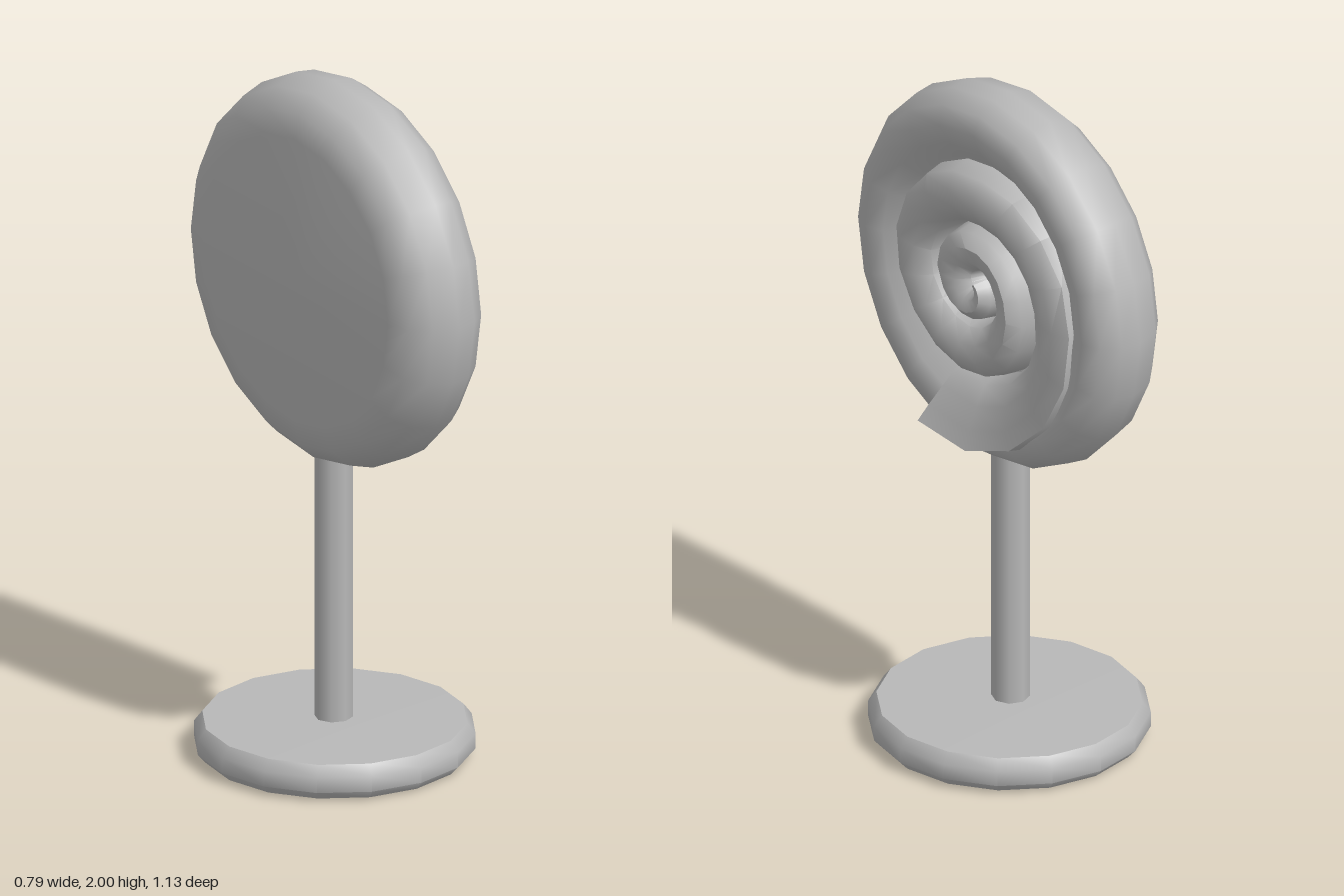
import * as THREE from 'three';
import { toCreasedNormals } from 'three/addons/utils/BufferGeometryUtils.js';

const CENTRE_Y = 1.435;

function lathe(points, sides) {
  const geo = new THREE.LatheGeometry(points.map(([r, y]) => new THREE.Vector2(r, y)), sides);
  return toCreasedNormals(geo, 0.75);
}

// Groove radius at each quarter turn, winding inwards from the bottom
const GROOVE = [0.52, 0.42, 0.35, 0.36, 0.30, 0.21, 0.17, 0.18, 0.12, 0.07, 0.03, 0];
function groove(q) {
  const t = THREE.MathUtils.clamp(q, 0, GROOVE.length - 1);
  const i = Math.min(Math.floor(t), GROOVE.length - 2);
  return THREE.MathUtils.lerp(GROOVE[i], GROOVE[i + 1], t - i);
}

// Rope cross-section: [position from outer to inner edge, height, share of the raised tail]
const ROPE = [[0, 0.05, 0], [0.1, 0.105, 1], [0.35, 0.135, 0.35], [0.65, 0.13, 0], [0.9, 0.1, 0], [1, 0.05, 0]];

function spiralGeometry() {
  const start = 3.78, end = 13.4, steps = 40;
  const pos = [], idx = [], n = ROPE.length;
  for (let i = -1; i <= steps; i++) {
    const q = start + (end - start) * Math.max(i, 0) / steps;
    const a = q * Math.PI / 2;
    const outer = groove(q - 4), inner = groove(q);
    const tail = 0.085 * Math.max(0, 1 - (q - start) / 1.4);
    const bulge = 0.02 * THREE.MathUtils.smoothstep(q, 4.5, 6);
    for (const [s, h, share] of ROPE) {
      const r = THREE.MathUtils.lerp(outer, inner, s);
      // the extra first row lies flat and closes the rope's end
      const x = i < 0 ? 0.05 : h + tail * share + (h > 0.06 ? bulge : 0);
      pos.push(x, -r * Math.cos(a), -r * Math.sin(a));
    }
  }
  for (let i = 0; i <= steps; i++) {
    for (let j = 0; j < n - 1; j++) {
      const k = i * n + j;
      idx.push(k, k + n, k + 1, k + n, k + n + 1, k + 1);
    }
  }
  const geo = new THREE.BufferGeometry();
  geo.setAttribute('position', new THREE.Float32BufferAttribute(pos, 3));
  geo.setIndex(idx);
  return toCreasedNormals(geo, 0.8);
}

export function createModel() {
  const model = new THREE.Group();
  model.name = 'lollipop';
  const grey = new THREE.MeshStandardMaterial({ color: 0xb8b8b8, side: THREE.DoubleSide });
  grey.name = 'grey';

  const add = (name, geo) => {
    const mesh = new THREE.Mesh(geo, grey);
    mesh.name = name;
    model.add(mesh);
    return mesh;
  };

  // Round foot
  add('base', lathe([[0, 0], [0.37, 0.005], [0.393, 0.03], [0.393, 0.075], [0.37, 0.105], [0, 0.11]], 16));

  // Stick
  const stick = add('stick', new THREE.CylinderGeometry(0.054, 0.054, 0.86, 8, 1));
  stick.position.set(-0.004, 0.52, 0);

  // Candy disc: flat back, rounded rim and a recessed face
  const disc = add('candyDisc', lathe([
    [0, -0.138], [0.42, -0.14], [0.49, -0.125], [0.54, -0.075], [0.563, 0], [0.555, 0.06],
    [0.52, 0.11], [0.465, 0.13], [0.41, 0.112], [0.36, 0.07], [0.33, 0.05], [0, 0.05],
  ], 20));
  disc.rotation.z = -Math.PI / 2;
  disc.position.y = CENTRE_Y;

  // Coiled rope on the face
  add('candySpiral', spiralGeometry()).position.y = CENTRE_Y;

  return model;
}
